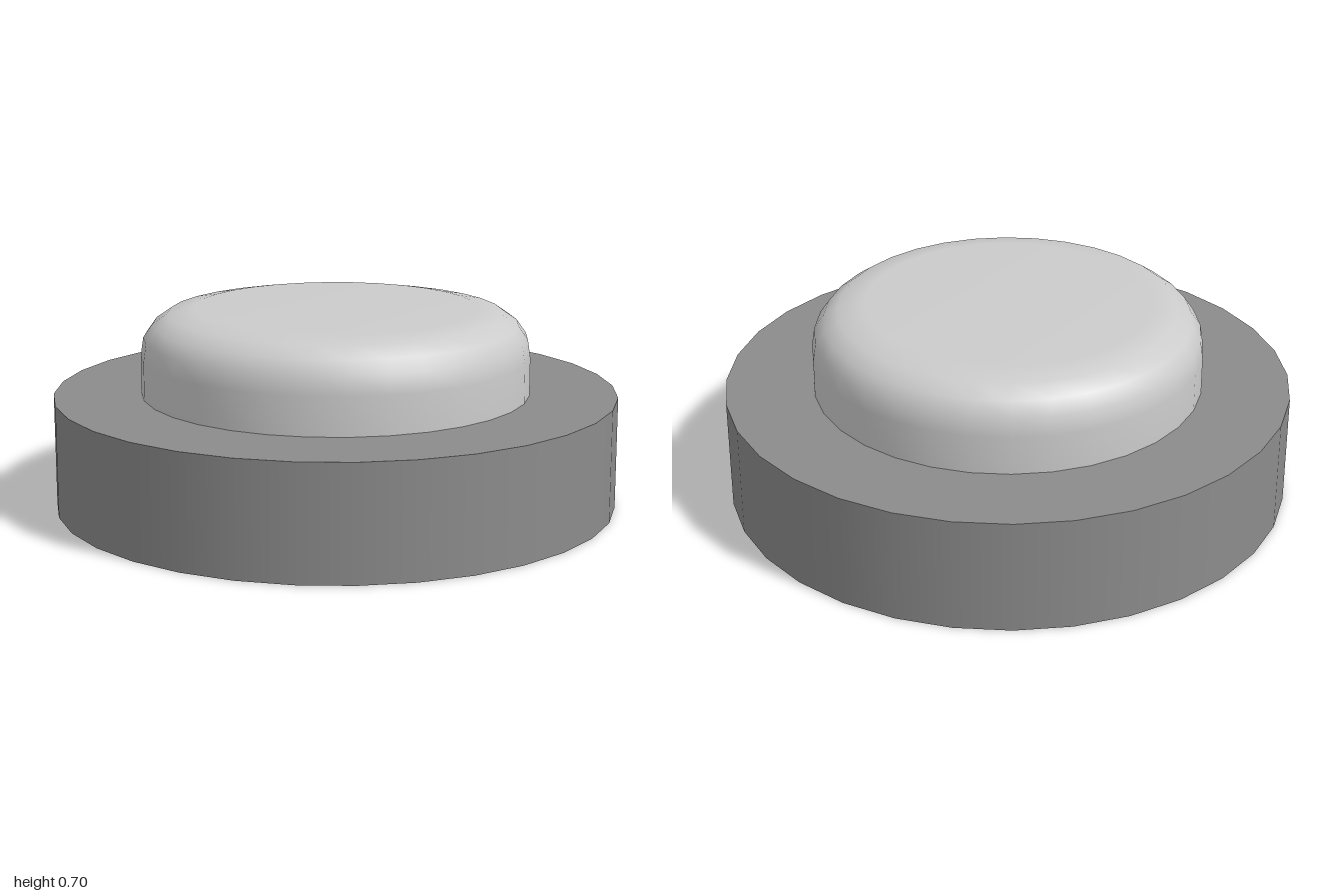
import * as THREE from 'three';

const SIDES = 32;

export function createModel() {
  const group = new THREE.Group();
  group.name = 'pushButton';

  // Wide, darker base disc
  const base = new THREE.Mesh(
    new THREE.CylinderGeometry(1, 1, 0.4, SIDES),
    new THREE.MeshStandardMaterial({ color: 0x8c8c8c })
  );
  base.name = 'base';
  base.position.y = 0.2;
  group.add(base);

  // Lighter cap with a softly rounded rim
  const profile = [
    [0.69, 0.4], [0.69, 0.535], [0.68, 0.6], [0.647, 0.647],
    [0.594, 0.684], [0.5, 0.702], [0, 0.702],
  ].map(([r, y]) => new THREE.Vector2(r, y));
  const cap = new THREE.Mesh(
    new THREE.LatheGeometry(profile, SIDES),
    new THREE.MeshStandardMaterial({ color: 0xcccccc })
  );
  cap.name = 'cap';
  group.add(cap);

  return group;
}
